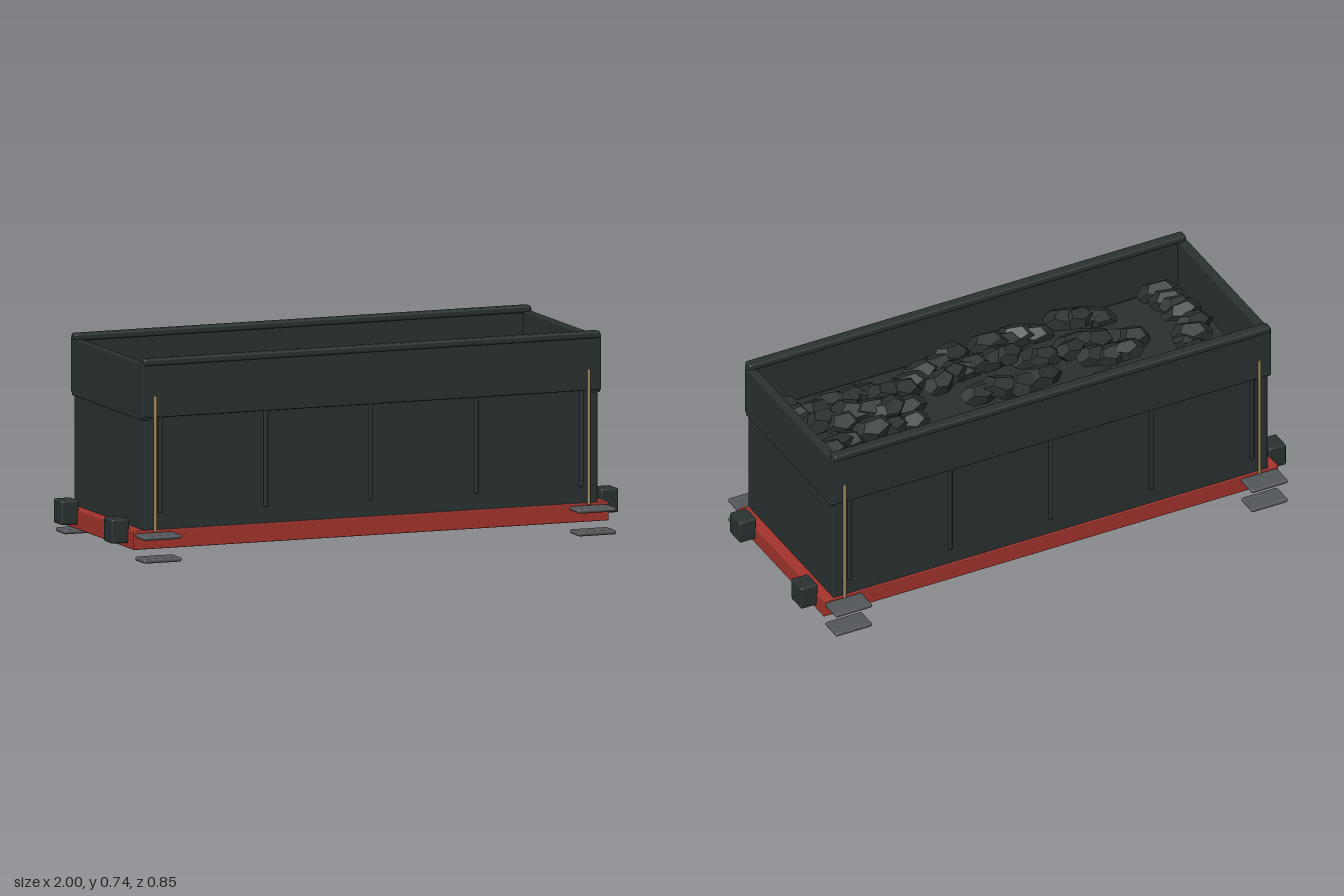
import * as THREE from 'three';
import { RoundedBoxGeometry } from 'three/addons/geometries/RoundedBoxGeometry.js';

const mat = (name, color, flatShading = false) => {
  const m = new THREE.MeshStandardMaterial({ color, flatShading });
  m.name = name;
  return m;
};

export function createModel() {
  const model = new THREE.Group();
  model.name = 'coalWagonBody';
  const dark = mat('darkPaint', 0x2a3232);
  const coalMat = mat('coal', 0x2a3131, true);
  const red = mat('redFrame', 0xa4342c);
  const brass = mat('brass', 0x9c865a);
  const steel = mat('steel', 0x54575a);

  // Rounded box given by its low and high limits on each axis
  const box = (name, material, [x0, x1], [y0, y1], [z0, z1], r = 0.004) => {
    const mesh = new THREE.Mesh(new RoundedBoxGeometry(x1 - x0, y1 - y0, z1 - z0, 2, r), material);
    mesh.position.set((x0 + x1) / 2, (y0 + y1) / 2, (z0 + z1) / 2);
    mesh.name = name;
    model.add(mesh);
  };
  const span = (s, a, b) => (s > 0 ? [a, b] : [-b, -a]);

  // Frame and main body
  box('baseFrame', red, [-0.937, 0.937], [0.04, 0.11], [-0.337, 0.337]);
  box('body', dark, [-0.895, 0.895], [0.1, 0.53], [-0.333, 0.333]);
  box('coalBed', coalMat, [-0.78, 0.84], [0.5, 0.545], [-0.3, 0.3]);

  for (const s of [1, -1]) {
    // Raised walls and top rails
    box('sideWall', dark, [-0.905, 0.905], [0.525, 0.73], span(s, 0.32, 0.344));
    box('endWall', dark, span(s, 0.87, 0.905), [0.515, 0.722], [-0.335, 0.335]);
    box('topRail', dark, [-0.9, 0.9], [0.717, 0.743], span(s, 0.311, 0.352), 0.008);

    // Vertical ribs on the sides
    for (let i = -2; i <= 2; i++) {
      const x = i * 0.415;
      box('rib', dark, [x - 0.008, x + 0.008], [0.17, 0.53], span(s, 0.325, 0.34), 0.005);
    }

    for (const e of [1, -1]) {
      // Handrail posts, steps and buffers at every corner
      const post = new THREE.Mesh(new THREE.CylinderGeometry(0.006, 0.006, 0.5, 12), brass);
      post.name = 'handrail';
      post.position.set(e * 0.855, 0.355, s * 0.345);
      model.add(post);
      for (const y of [0.001, 0.085]) {
        box('step', steel, span(e, 0.782, 0.932), [y, y + 0.016], span(s, 0.336, 0.425), 0.007);
      }
      box('buffer', dark, span(e, 0.93, 1), [0.058, 0.148], span(s, 0.199, 0.281), 0.008);
    }
  }

  // Coal lumps scattered along short runs: start x, start z, end x, end z, count
  let seed = 17;
  const rand = () => {
    seed = (seed * 16807) % 2147483647;
    return seed / 2147483647;
  };
  const runs = [
    [-0.75, -0.27, -0.5, -0.23, 5], [-0.44, -0.24, -0.33, -0.15, 5], [-0.68, -0.17, -0.74, -0.02, 4],
    [-0.79, 0.06, -0.76, 0.25, 5], [-0.48, -0.02, -0.3, 0.06, 4], [-0.54, 0.07, -0.34, 0.12, 4],
    [-0.49, 0.22, -0.38, 0.27, 4], [-0.23, 0.25, -0.05, 0.27, 4], [-0.27, -0.27, -0.07, -0.27, 3],
    [-0.13, -0.05, 0.12, 0.01, 4], [-0.01, -0.18, 0.06, -0.14, 3], [-0.2, 0.09, -0.02, 0.17, 4],
    [0.06, 0.16, 0.22, 0.1, 4], [0.1, 0.25, 0.32, 0.2, 4], [0.16, -0.26, 0.32, -0.18, 3],
    [0.42, -0.07, 0.58, -0.06, 3], [0.49, -0.27, 0.56, -0.27, 2], [0.66, -0.19, 0.77, -0.26, 4],
    [0.69, -0.06, 0.78, -0.08, 3], [0.4, 0.06, 0.78, 0.1, 7], [0.36, 0.15, 0.7, 0.19, 6],
    [0.78, 0.17, 0.79, 0.25, 2],
  ];
  const coal = new THREE.Group();
  coal.name = 'coalLoad';
  const lump = new THREE.DodecahedronGeometry(1, 0);
  for (const [x0, z0, x1, z1, n] of runs) {
    for (let i = 0; i < n; i++) {
      const t = i / (n - 1);
      const mesh = new THREE.Mesh(lump, coalMat);
      mesh.name = 'coalLump';
      mesh.scale.set(0.066 + rand() * 0.026, 0.036 + rand() * 0.014, 0.044 + rand() * 0.014);
      mesh.rotation.set((rand() - 0.5) * 0.4, (rand() - 0.5) * 0.8, (rand() - 0.5) * 0.4);
      const z = z0 + (z1 - z0) * t + (rand() - 0.5) * 0.05;
      mesh.position.set(x0 + (x1 - x0) * t, 0.555 + rand() * 0.025, THREE.MathUtils.clamp(z, -0.265, 0.265));
      coal.add(mesh);
    }
  }
  model.add(coal);
  return model;
}
